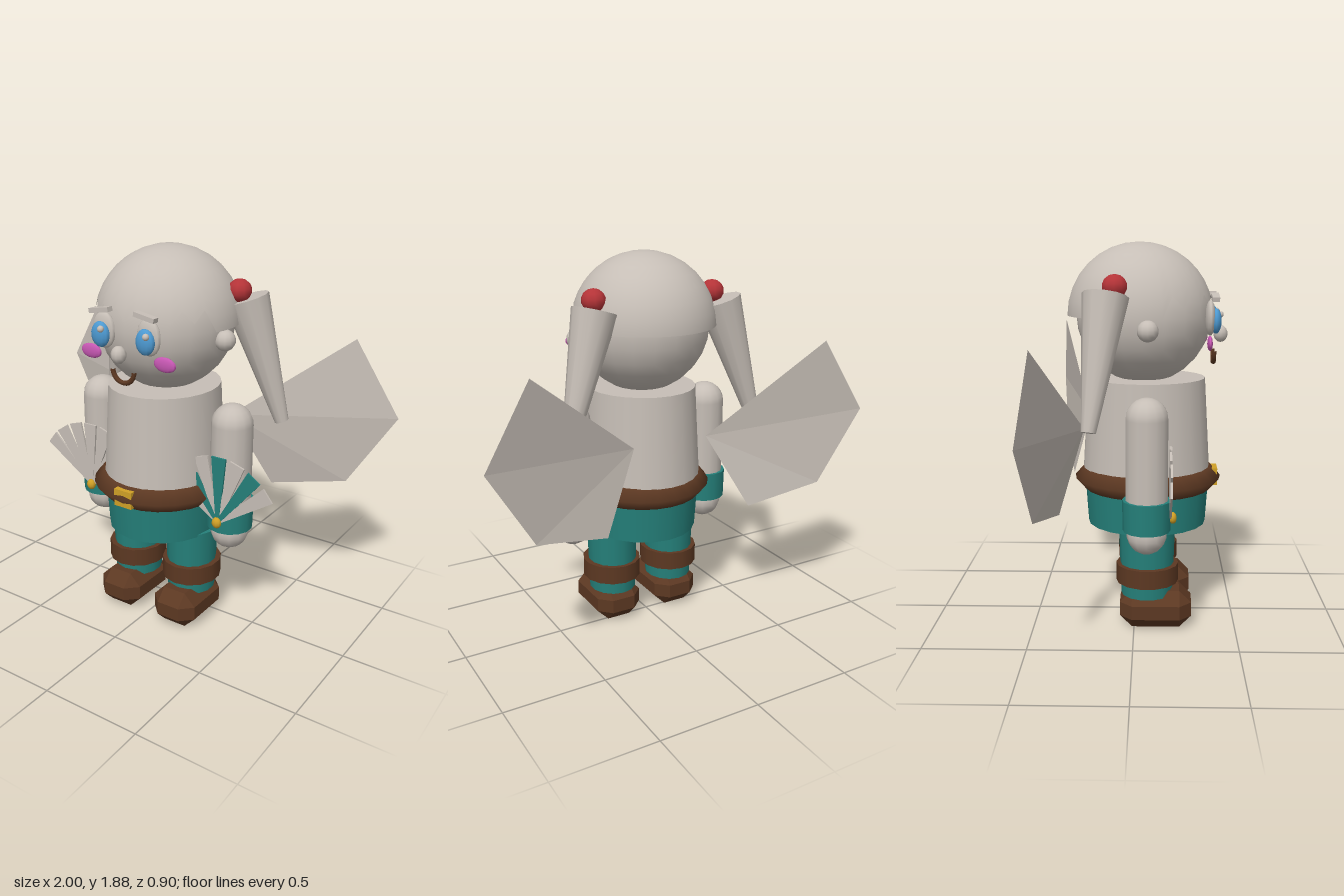
import * as THREE from 'three';
import { ConvexGeometry } from 'three/addons/geometries/ConvexGeometry.js';

const mat = (name, color, side = THREE.FrontSide) => {
  const m = new THREE.MeshStandardMaterial({ color, side });
  m.name = name;
  return m;
};

// Dome whose hem is level at the back and a zigzag fringe at the front
function hairGeometry(R, cols = 40, rows = 8) {
  const pos = [], nor = [], idx = [];
  for (let i = 0; i <= cols; i++) {
    const az = -Math.PI + (i / cols) * Math.PI * 2;
    const hem = Math.abs(az) > 1.13 ? 0 : i % 2 ? 0.105 : 0.05;
    const end = Math.acos(hem / R);
    for (let j = 0; j <= rows; j++) {
      const t = (j / rows) * end;
      const x = Math.sin(t) * Math.sin(az), y = Math.cos(t), z = Math.sin(t) * Math.cos(az);
      pos.push(R * x, R * y, R * z * (z > 0 ? 1.03 : 1));
      nor.push(x, y, z);
      if (i < cols && j < rows) {
        const a = i * (rows + 1) + j, b = a + rows + 1;
        idx.push(a, a + 1, b, b, a + 1, b + 1);
      }
    }
  }
  const g = new THREE.BufferGeometry();
  g.setAttribute('position', new THREE.Float32BufferAttribute(pos, 3));
  g.setAttribute('normal', new THREE.Float32BufferAttribute(nor, 3));
  g.setIndex(idx);
  return g;
}

// Box with every edge cut off by c
function chamferBox(w, h, d, c) {
  const pts = [];
  for (const x of [-w / 2, w / 2]) for (const y of [-h / 2, h / 2]) for (const z of [-d / 2, d / 2]) {
    const ix = x - Math.sign(x) * c, iy = y - Math.sign(y) * c, iz = z - Math.sign(z) * c;
    pts.push(new THREE.Vector3(x, iy, iz), new THREE.Vector3(ix, y, iz), new THREE.Vector3(ix, iy, z));
  }
  return new ConvexGeometry(pts);
}

export function createModel() {
  const model = new THREE.Group();
  const pale = mat('pale grey', 0xc6beb6, THREE.DoubleSide);
  const teal = mat('teal', 0x25807a);
  const brown = mat('brown', 0x5c3822);
  const red = mat('red', 0xb53438);
  const blue = mat('blue', 0x4d9ad2);
  const pink = mat('pink', 0xc858b4);
  const gold = mat('gold', 0xd0a026);

  const add = (name, geo, m, x = 0, y = 0, z = 0) => {
    const mesh = new THREE.Mesh(geo, m);
    mesh.name = name;
    mesh.position.set(x, y, z);
    model.add(mesh);
    return mesh;
  };
  const ball = (name, m, x, y, z, rx, ry = rx, rz = rx, n = 12) =>
    add(name, new THREE.SphereGeometry(1, n, Math.ceil(n * 0.7)).scale(rx, ry, rz), m, x, y, z);
  const tube = (name, m, x, z, y0, y1, r0, r1, sz = 1, n = 16) =>
    add(name, new THREE.CylinderGeometry(r1, r0, y1 - y0, n).scale(1, 1, sz), m, x, (y0 + y1) / 2, z);

  // Head and hair
  ball('head', pale, 0, 1.53, 0.043, 0.33, 0.33, 0.33, 20);
  add('hair', hairGeometry(0.35), pale, 0, 1.53, 0.02);
  ball('nose', pale, 0, 1.44, 0.418, 0.036, 0.042, 0.036, 10);
  const mouth = add('mouth', new THREE.TorusGeometry(0.06, 0.012, 6, 14, Math.PI), brown, 0, 1.36, 0.385);
  mouth.rotation.z = Math.PI;

  // Torso, shorts and belt
  tube('torso', pale, 0, 0.057, 0.72, 1.225, 0.296, 0.268, 1.08, 24);
  tube('shorts', teal, 0, 0.06, 0.488, 0.7, 0.275, 0.288, 1.08, 20);
  const beltProfile = [[0.25, 0.67], [0.3, 0.67], [0.345, 0.725], [0.3, 0.78], [0.25, 0.78]];
  add('belt', new THREE.LatheGeometry(beltProfile.map(p => new THREE.Vector2(...p)), 24).scale(1, 1, 1.06),
    brown, 0, 0, 0.064);
  add('buckle', new THREE.BoxGeometry(0.1, 0.086, 0.05), gold, 0, 0.727, 0.388);

  // Fan blade, pivot end at the origin
  const bladeShape = new THREE.Shape([[-0.008, 0], [0.008, 0], [0.039, 0.335], [-0.039, 0.335]]
    .map(p => new THREE.Vector2(...p)));
  const blade = new THREE.ExtrudeGeometry(bladeShape, { depth: 0.01, bevelEnabled: false });

  for (const s of [-1, 1]) {
    const side = s > 0 ? 'left' : 'right';

    // Face details
    ball(side + 'EyeWhite', pale, s * 0.125, 1.525, 0.36, 0.065, 0.085, 0.025);
    ball(side + 'Iris', blue, s * 0.125, 1.51, 0.387, 0.05, 0.06, 0.027);
    ball(side + 'EyeHighlight', pale, s * 0.125 + 0.018, 1.54, 0.408, 0.016);
    ball(side + 'Cheek', pink, s * 0.207, 1.413, 0.355, 0.06, 0.035, 0.013);
    const brow = add(side + 'Brow', new THREE.BoxGeometry(0.11, 0.022, 0.035), pale, s * 0.125, 1.622, 0.383);
    brow.rotation.z = -s * 0.17;
    ball(side + 'Ear', pale, s * 0.338, 1.48, 0.065, 0.05);

    // Pigtail and its bobble
    ball(side + 'Bobble', red, s * 0.32, 1.68, -0.085, 0.058, 0.055, 0.06, 10);
    const top = new THREE.Vector3(s * 0.335, 1.64, -0.125), tip = new THREE.Vector3(s * 0.512, 1.047, -0.195);
    const axis = top.clone().sub(tip);
    const tail = add(side + 'Pigtail', new THREE.CylinderGeometry(0.108, 0.034, axis.length(), 12), pale);
    tail.position.copy(top).lerp(tip, 0.5);
    tail.quaternion.setFromUnitVectors(new THREE.Vector3(0, 1, 0), axis.normalize());

    // Arm, cuff and hand
    add(side + 'Arm', new THREE.CapsuleGeometry(0.1, 0.43, 6, 14), pale, s * 0.387, 0.87, 0.063);
    tube(side + 'Cuff', teal, s * 0.387, 0.063, 0.558, 0.705, 0.112, 0.115, 1, 14);
    ball(side + 'Hand', pale, s * 0.387, 0.537, 0.063, 0.095);

    // Folding fan with a gold pivot; the left one is striped
    for (let i = -3; i <= 3; i++) {
      const b = add(side + 'FanBlade', blade, s > 0 && i % 2 === 0 ? teal : pale,
        s * 0.385, 0.615, 0.168 + (i % 2 ? 0 : 0.002));
      b.rotation.z = i * 0.3;
    }
    ball(side + 'FanPivot', gold, s * 0.385, 0.617, 0.184, 0.025, 0.028, 0.02, 10);

    // Leg, band and shoe
    tube(side + 'Leg', teal, s * 0.168, 0.063, 0.16, 0.5, 0.118, 0.128, 1.08, 14);
    tube(side + 'LegBand', brown, s * 0.17, 0.065, 0.228, 0.32, 0.147, 0.147, 1.05, 14);
    add(side + 'Shoe', chamferBox(0.243, 0.19, 0.354, 0.06), brown, s * 0.17, 0.095, 0.107);

    // Flat five-cornered wing
    const corners = [[0.2, 1.0, -0.24], [0.395, 0.63, -0.345], [0.775, 0.71, -0.415],
      [1.0, 1.08, -0.45], [0.775, 1.445, -0.415]];
    const tri = [];
    for (let i = 1; i < 4; i++) {
      const fan = s > 0 ? [0, i, i + 1] : [0, i + 1, i];
      for (const k of fan) tri.push(s * corners[k][0], corners[k][1], corners[k][2]);
    }
    const wing = new THREE.BufferGeometry();
    wing.setAttribute('position', new THREE.Float32BufferAttribute(tri, 3));
    wing.computeVertexNormals();
    add(side + 'Wing', wing, pale);
  }
  return model;
}
